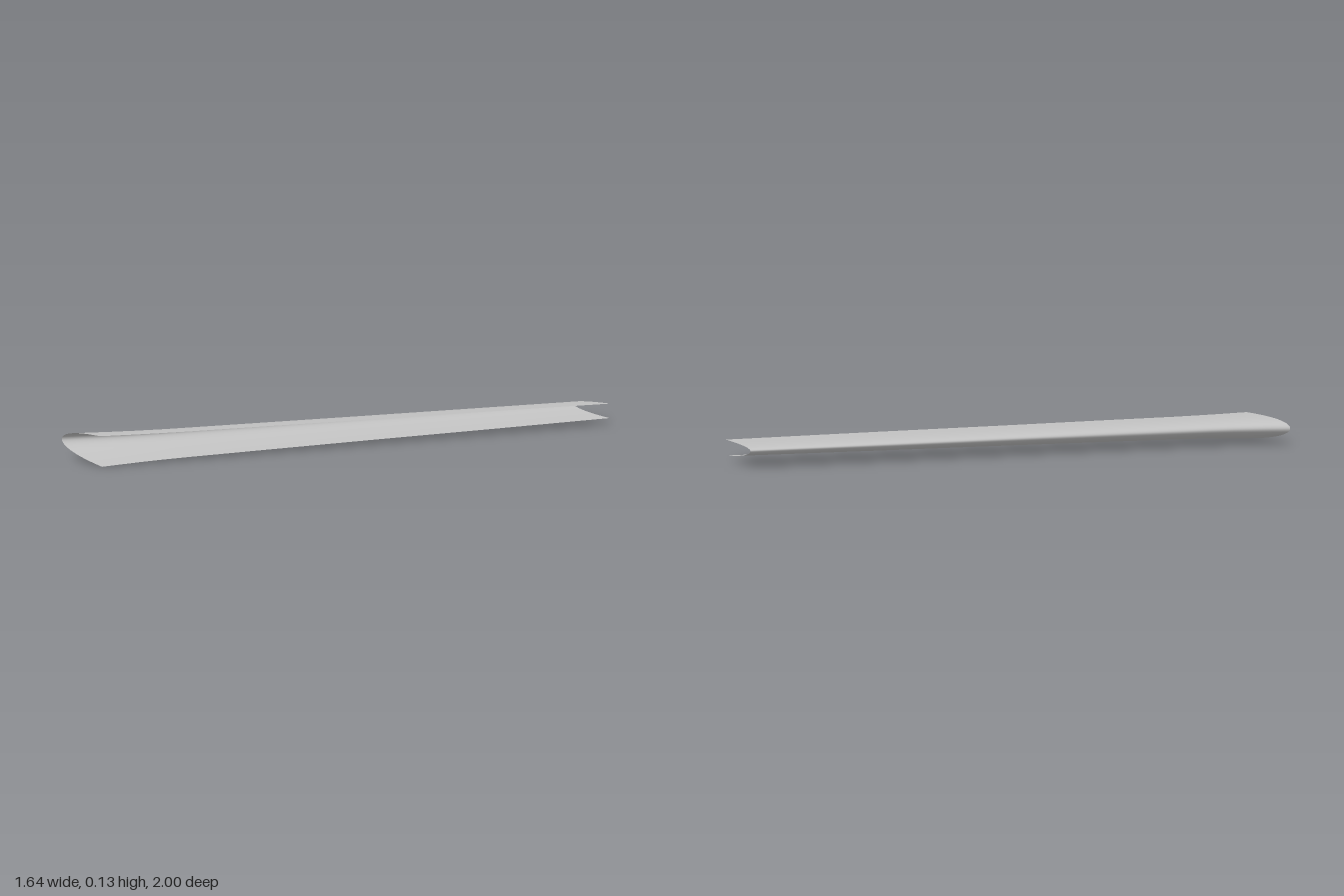
import * as THREE from 'three';

// Cross-section, as [fraction of chord, fraction of height] from the nose
const UPPER = [[0, 0], [0.012, 0.2], [0.05, 0.4], [0.12, 0.58], [0.24, 0.75], [0.4, 0.88], [0.6, 0.96], [0.8, 0.99], [1, 1]];
const LOWER = [[0, 0], [0.012, 0.1], [0.05, 0.22], [0.12, 0.35], [0.25, 0.51], [0.42, 0.66], [0.6, 0.79], [0.8, 0.9], [1, 1]];

// Stations along the span: z, nose x, nose y, top y, bottom y
const STATIONS = [
  [-1, 0.625, 0.087, 0.105, 0.033],
  [-0.5, 0.275, 0.087, 0.111, 0.027],
  [0, -0.075, 0.088, 0.116, 0.022],
  [0.4, -0.355, 0.088, 0.121, 0.017],
  [0.7, -0.568, 0.088, 0.124, 0.013],
  [0.8, -0.645, 0.088, 0.126, 0.011],
  [0.88, -0.713, 0.088, 0.128, 0.008],
  [0.94, -0.766, 0.088, 0.13, 0.005],
  [1, -0.82, 0.088, 0.132, 0.002],
];

// One open section, running from the lower edge round the nose to the upper edge
function section([z, noseX, noseY, top, bottom]) {
  const chord = 0.12 - 0.7 * z - noseX;
  const place = (edge) => ([u, v]) => new THREE.Vector3(noseX + u * chord, noseY + v * (edge - noseY), z);
  const points = [...LOWER.slice(1).reverse().map(place(bottom)), ...UPPER.map(place(top))];
  return new THREE.CatmullRomCurve3(points, false, 'centripetal').getPoints(48);
}

// Join successive sections into a smooth skin
function loft(rows) {
  const n = rows[0].length;
  const index = [];
  for (let r = 0; r < rows.length - 1; r++) {
    for (let i = 0; i < n - 1; i++) {
      const a = r * n + i, b = a + n;
      index.push(a, b, a + 1, b, b + 1, a + 1);
    }
  }
  const geometry = new THREE.BufferGeometry().setFromPoints(rows.flat());
  geometry.setIndex(index);
  geometry.computeVertexNormals();
  return geometry;
}

export function createModel() {
  const model = new THREE.Group();
  model.name = 'wingLeadingEdge';
  const metal = new THREE.MeshStandardMaterial({ color: 0xc0c0c0, side: THREE.DoubleSide });
  metal.name = 'light grey metal';

  // Swept leading-edge skin, open along the rear and at both ends
  const skin = new THREE.Mesh(loft(STATIONS.map(section)), metal);
  skin.name = 'leadingEdgeSkin';
  model.add(skin);
  return model;
}
